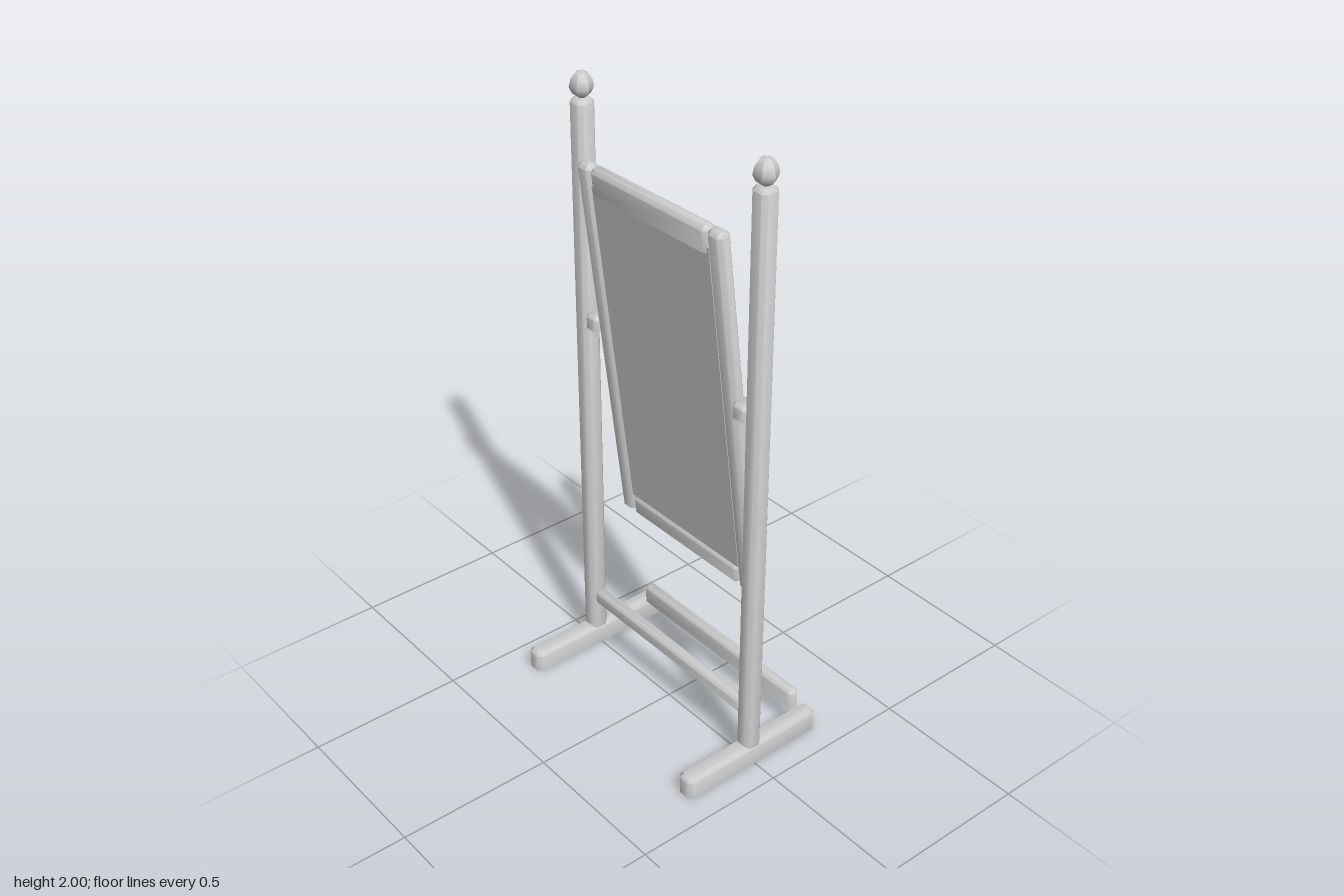
import * as THREE from 'three';
import { toCreasedNormals } from 'three/addons/utils/BufferGeometryUtils.js';

const CREASE = 0.87;

// Bar standing on y = 0: chamfered upright and top edges, sharp flat base
function barGeometry(w, h, d, b = 0.013) {
  const loop = (y, inset) => {
    const x = w / 2 - inset, z = d / 2 - inset, c = inset ? b * 0.45 : b;
    return [[x, z - c], [x - c, z], [c - x, z], [-x, z - c],
      [-x, c - z], [c - x, -z], [x - c, -z], [x, c - z]].map(([px, pz]) => [px, y, pz]);
  };
  const loops = [loop(0, 0), loop(h - b, 0), loop(h, b * 0.85)];
  const pos = loops.flat(2);
  const index = [];
  for (let r = 0; r < 2; r++) {
    for (let i = 0; i < 8; i++) {
      const a = r * 8 + i, n = r * 8 + (i + 1) % 8;
      index.push(a, a + 8, n, n, a + 8, n + 8);
    }
  }
  // end caps
  for (let i = 1; i < 7; i++) {
    index.push(0, i, i + 1);
    index.push(16, 16 + i + 1, 16 + i);
  }
  // corners run clockwise seen from above, so flip every face outward
  const geo = new THREE.BufferGeometry();
  geo.setAttribute('position', new THREE.Float32BufferAttribute(pos, 3));
  geo.setIndex(index);
  return toCreasedNormals(orientOutward(geo), CREASE);
}

// Make every triangle of a convex solid face away from its centre
function orientOutward(geo) {
  geo.computeBoundingBox();
  const centre = geo.boundingBox.getCenter(new THREE.Vector3());
  const p = geo.attributes.position, idx = geo.index.array;
  const tri = new THREE.Triangle(), n = new THREE.Vector3(), m = new THREE.Vector3();
  for (let i = 0; i < idx.length; i += 3) {
    tri.setFromAttributeAndIndices(p, idx[i], idx[i + 1], idx[i + 2]);
    tri.getNormal(n);
    tri.getMidpoint(m).sub(centre);
    if (n.dot(m) < 0) [idx[i + 1], idx[i + 2]] = [idx[i + 2], idx[i + 1]];
  }
  return geo;
}

export function createModel() {
  const model = new THREE.Group();
  model.name = 'standingMirror';
  const grey = new THREE.MeshStandardMaterial({ color: 0xcccccc });
  grey.name = 'plain grey';

  const add = (parent, name, geo, x, y, z) => {
    const mesh = new THREE.Mesh(geo, grey);
    mesh.name = name;
    mesh.position.set(x, y, z);
    parent.add(mesh);
    return mesh;
  };

  // Six-sided bud on top of each post
  const budProfile = [[0, 1.915], [0.01, 1.92], [0.027, 1.932], [0.036, 1.95],
    [0.031, 1.973], [0.018, 1.992], [0, 2.0]].map(([r, y]) => new THREE.Vector2(r, y));
  const budGeo = toCreasedNormals(new THREE.LatheGeometry(budProfile, 6, Math.PI / 2), CREASE);

  // Stand: feet, posts, buds and pivots on both sides
  for (const [side, s] of [['left', 1], ['right', -1]]) {
    add(model, side + 'Foot', barGeometry(0.06, 0.072, 0.516), 0.383 * s, 0, 0);
    add(model, side + 'Post', barGeometry(0.06, 1.855, 0.06), 0.383 * s, 0.065, 0);
    add(model, side + 'Finial', budGeo, 0.383 * s, 0, 0);
    add(model, side + 'Pivot', barGeometry(0.056, 0.048, 0.062, 0.01), 0.329 * s, 1.211, 0);
  }

  // Stretchers between the sides
  add(model, 'middleStretcher', barGeometry(0.72, 0.042, 0.04, 0.01), 0, 0.178, 0);
  add(model, 'rearStretcher', barGeometry(0.724, 0.063, 0.04, 0.01), 0, 0.076, -0.21);

  // Tilted looking glass
  const mirror = new THREE.Group();
  mirror.name = 'tiltedMirror';
  mirror.position.set(0, 1.172, -0.009);
  mirror.rotation.x = 0.121;
  model.add(mirror);
  const H = 1.22, T = 0.045;
  for (const [side, s] of [['left', 1], ['right', -1]]) {
    add(mirror, side + 'Stile', barGeometry(0.06, H, T), 0.278 * s, -H / 2, 0);
  }
  add(mirror, 'topRail', barGeometry(0.496, 0.078, T), 0, H / 2 - 0.078, 0);
  add(mirror, 'bottomRail', barGeometry(0.496, 0.062, T), 0, -H / 2, 0);
  add(mirror, 'glassPanel', new THREE.BoxGeometry(0.5, H - 0.12, 0.02), 0, 0, 0.006);

  return model;
}
